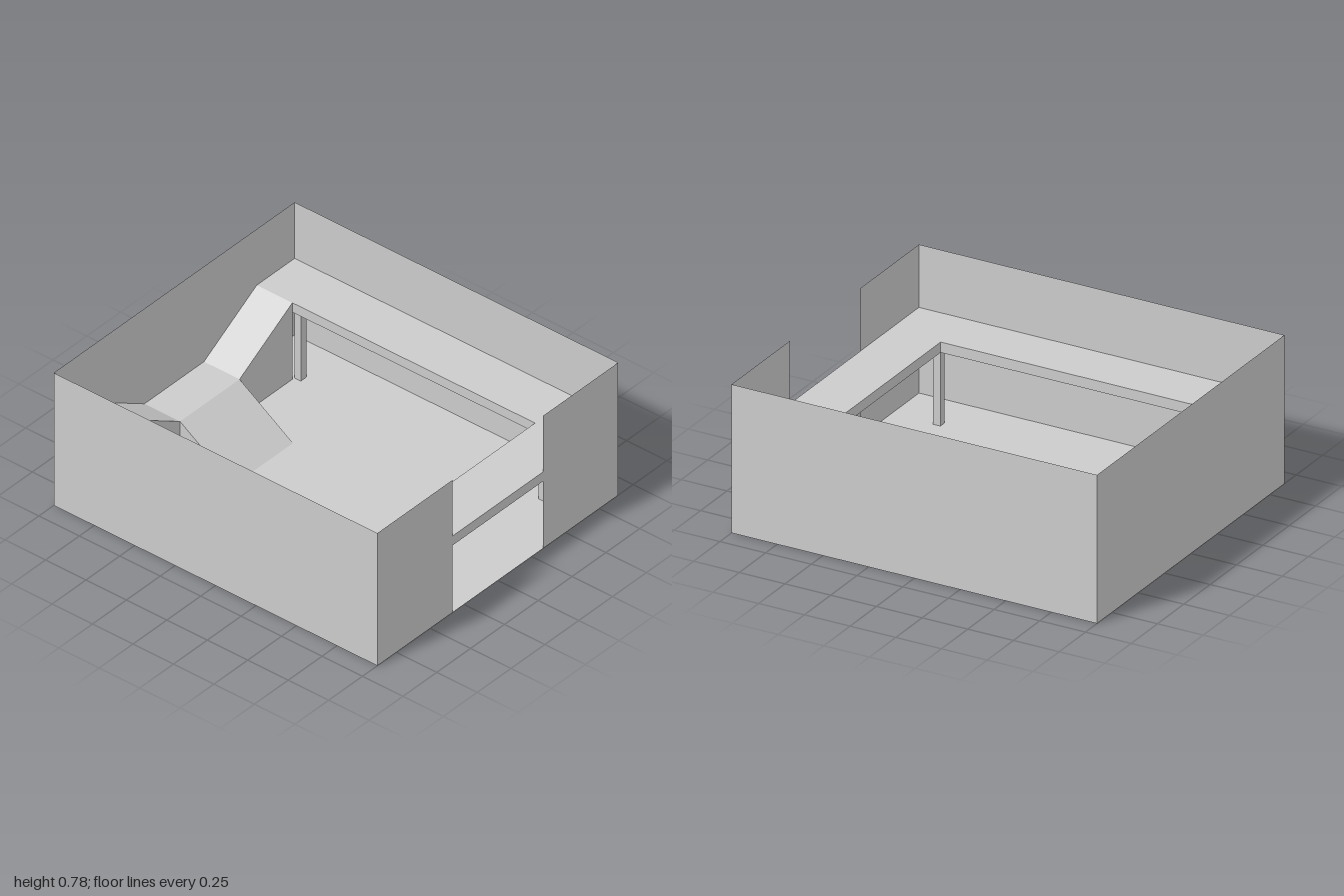
import * as THREE from 'three';

const W = 0.89, D = 1, H = 0.78;            // half width, half depth, wall height
const IN = 0.61, BACK = -0.78, FRONT = 0.72; // edges of the central well
const DECK_LOW = 0.395, DECK_TOP = 0.45;
const STAIR = 0.22;                          // landing height and stair half width
const DOOR = 0.335;                          // half width of the front opening

export function createModel() {
  const group = new THREE.Group();
  const solid = new THREE.MeshStandardMaterial({ color: 0xcccccc, flatShading: true });
  const thin = new THREE.MeshStandardMaterial({ color: 0xcccccc, side: THREE.DoubleSide });

  const add = (name, geometry, material) => {
    const mesh = new THREE.Mesh(geometry, material);
    mesh.name = name;
    group.add(mesh);
    return mesh;
  };
  const extrude = (points, depth) => new THREE.ExtrudeGeometry(
    new THREE.Shape(points.map(([x, y]) => new THREE.Vector2(x, y))),
    { depth, bevelEnabled: false });

  // Floor and thin outer walls
  add('floor', new THREE.PlaneGeometry(2 * W, 2 * D).rotateX(-Math.PI / 2), thin);
  add('backWall', new THREE.PlaneGeometry(2 * W, H).rotateY(Math.PI).translate(0, H / 2, -D), thin);
  for (const [side, s] of [['left', 1], ['right', -1]]) {
    add(side + 'Wall', new THREE.PlaneGeometry(2 * D, H)
      .rotateY(s * Math.PI / 2).translate(s * W, H / 2, 0), thin);
    add(side + 'FrontWall', new THREE.PlaneGeometry(W - DOOR, H)
      .translate(s * (W + DOOR) / 2, H / 2, D), thin);
  }

  // U-shaped gallery deck, open at the back for the stairs
  add('galleryDeck', extrude([
    [-W, D], [-W, -D], [W, -D], [W, D],
    [IN, D], [IN, -FRONT], [-IN, -FRONT], [-IN, D],
  ], DECK_TOP - DECK_LOW).rotateX(-Math.PI / 2).translate(0, DECK_LOW, 0), solid);

  // Landing with a ramp rising to the gallery on each side
  add('landingAndSideRamps', extrude([
    [-IN, 0], [IN, 0], [IN, DECK_TOP], [STAIR, STAIR], [-STAIR, STAIR], [-IN, DECK_TOP],
  ], BACK + D).translate(0, 0, -D), solid);

  // Central ramp from the floor to the landing
  add('centralRamp', extrude([[BACK, 0], [-0.45, 0], [BACK, STAIR]], 2 * STAIR)
    .rotateY(-Math.PI / 2).translate(STAIR, 0, 0), solid);

  // Posts under the corners of the gallery
  const post = new THREE.BoxGeometry(0.04, DECK_LOW, 0.04);
  for (const x of [-0.645, 0.645]) {
    for (const z of [-0.76, 0.75]) add('post', post, solid).position.set(x, DECK_LOW / 2, z);
  }
  return group;
}
